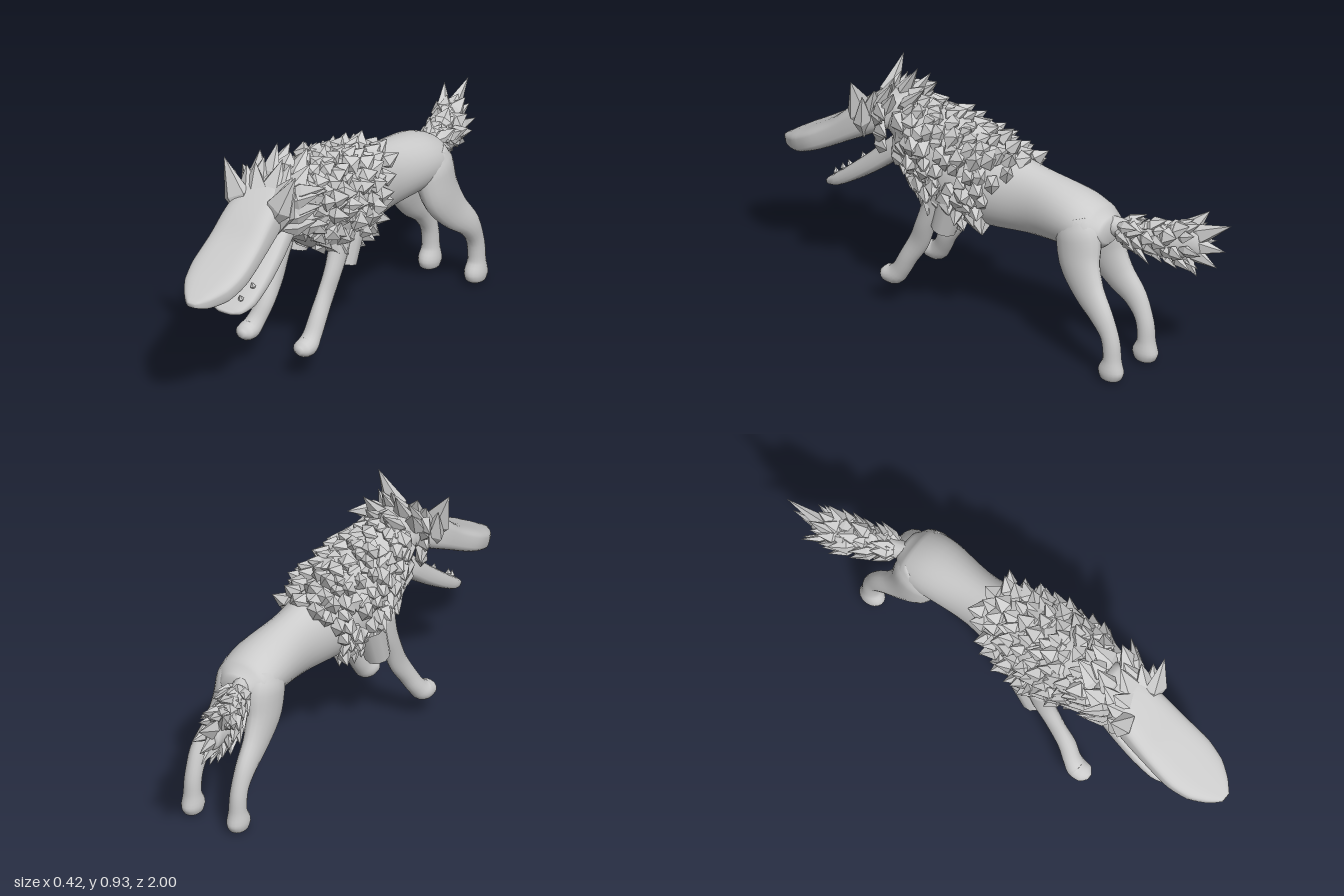
import * as THREE from 'three';
import { mergeGeometries } from 'three/addons/utils/BufferGeometryUtils.js';

const V = (x, y, z) => new THREE.Vector3(x, y, z);
const smooth = new THREE.MeshStandardMaterial({ color: 0xcccccc });
const faceted = new THREE.MeshStandardMaterial({ color: 0xcccccc, flatShading: true });
const open = new THREE.MeshStandardMaterial({ color: 0xcccccc, side: THREE.DoubleSide });

let seed = 7;
const rnd = (a, b) => {
  seed = (seed * 16807) % 2147483647;
  return a + (b - a) * seed / 2147483647;
};

// Skin around a spine of stations [x, y, z, radiusX, radiusAcross]; power > 2 makes it squarer
function skin(stations, power = 2) {
  const path = new THREE.CatmullRomCurve3(stations.map(s => V(s[0], s[1], s[2])));
  const size = new THREE.CatmullRomCurve3(stations.map(s => V(s[3], s[4], 0)));
  const round = c => Math.sign(c) * Math.pow(Math.abs(c), 2 / power);
  return (u, a) => {
    const t = path.getTangent(u), r = size.getPoint(u), X = V(1, 0, 0);
    const U = t.clone().cross(X).normalize();
    const c = Math.cos(a), s = Math.sin(a), center = path.getPoint(u);
    return {
      center, tangent: t,
      point: center.clone().addScaledVector(X, round(c) * r.x).addScaledVector(U, round(s) * r.y),
      normal: X.multiplyScalar(c / r.x).addScaledVector(U, s / r.y).normalize(),
    };
  };
}

function loft(surface, rings, sides) {
  const pos = [], idx = [], caps = rings * sides;
  for (let i = 0; i < rings; i++)
    for (let j = 0; j < sides; j++)
      pos.push(...surface(i / (rings - 1), j / sides * Math.PI * 2).point.toArray());
  pos.push(...surface(0, 0).center.toArray(), ...surface(1, 0).center.toArray());
  for (let j = 0; j < sides; j++) {
    const k = (j + 1) % sides, end = caps - sides;
    for (let i = 0; i < rings - 1; i++) {
      const a = i * sides, b = a + sides;
      idx.push(a + j, a + k, b + j, a + k, b + k, b + j);
    }
    idx.push(caps, k, j, caps + 1, end + j, end + k);
  }
  const g = new THREE.BufferGeometry();
  g.setAttribute('position', new THREE.Float32BufferAttribute(pos, 3));
  g.setIndex(idx);
  g.computeVertexNormals();
  return g;
}

// Chunky leaf-shaped tuft from base to tip, flattened along the hint direction
function tuft(base, tip, r, flat = 0.5, hint = V(0, 0.3, 1)) {
  const g = new THREE.LatheGeometry([[0.001, 0], [1, 0.45], [0.001, 1]].map(p => new THREE.Vector2(...p)), 5);
  const d = tip.clone().sub(base), len = d.length();
  d.normalize();
  const x = d.clone().cross(hint).normalize(), z = x.clone().cross(d);
  g.rotateY(rnd(0, 6)).scale(r, len, r * flat);
  return g.applyMatrix4(new THREE.Matrix4().makeBasis(x, d, z).setPosition(base));
}

export function createModel() {
  const wolf = new THREE.Group();
  const add = (name, geometry, material = smooth) => {
    const m = new THREE.Mesh(geometry, material);
    m.name = name;
    wolf.add(m);
    return m;
  };

  // Torso and neck
  const torso = skin([
    [0.015, 0.55, -0.555, 0.06, 0.045], [0.015, 0.55, -0.5, 0.112, 0.09], [0.015, 0.565, -0.4, 0.118, 0.115],
    [0.01, 0.575, -0.2, 0.1, 0.137], [0.01, 0.585, 0, 0.13, 0.167], [0.01, 0.61, 0.15, 0.155, 0.187],
    [0.01, 0.665, 0.28, 0.14, 0.165], [0, 0.725, 0.4, 0.1, 0.105], [-0.01, 0.74, 0.48, 0.08, 0.065]]);
  add('torso', loft(torso, 40, 28));

  // Shaggy coat of chunky tufts over chest and shoulders
  const coat = [];
  for (let row = 0; row < 12; row++) {
    for (let j = 0; j < 18; j++) {
      const a = (j + (row % 2) / 2 + rnd(-0.3, 0.3)) / 18 * Math.PI * 2, s = Math.sin(a);
      if (s < -0.93) continue;
      const start = 0.47 - 0.045 * s, end = 0.87 + 0.05 * s;
      const { point, normal } = torso(start + (end - start) * (row + rnd(-0.4, 0.4) + 0.4) / 11.8, a);
      const dir = normal.clone().multiplyScalar(rnd(0.5, 1.3)).add(V(rnd(-0.3, 0.3), rnd(-0.4, 0.2), -0.8)).normalize();
      const base = point.clone().addScaledVector(normal, -0.025);
      coat.push(tuft(base, base.clone().addScaledVector(dir, rnd(0.075, 0.105)), rnd(0.034, 0.05), 0.75, normal));
    }
  }
  add('coat', mergeGeometries(coat), faceted);

  // Long flat muzzle and head
  add('head', loft(skin([
    [0, 0.78, 0.4, 0.07, 0.05], [-0.005, 0.75, 0.5, 0.1, 0.07], [-0.01, 0.69, 0.6, 0.112, 0.066],
    [-0.01, 0.62, 0.7, 0.117, 0.052], [-0.01, 0.56, 0.8, 0.12, 0.048], [-0.01, 0.515, 0.89, 0.102, 0.042],
    [-0.01, 0.492, 0.96, 0.058, 0.027], [-0.01, 0.488, 0.997, 0.02, 0.01]], 3.6), 26, 32));

  // Hanging lower jaw
  add('lowerJaw', loft(skin([
    [-0.005, 0.665, 0.38, 0.07, 0.05], [-0.01, 0.605, 0.46, 0.085, 0.045], [-0.01, 0.535, 0.54, 0.092, 0.04],
    [-0.01, 0.465, 0.63, 0.095, 0.034], [-0.01, 0.41, 0.71, 0.09, 0.026], [-0.01, 0.383, 0.765, 0.065, 0.014],
    [-0.01, 0.378, 0.782, 0.03, 0.006]], 3.2), 22, 24));

  // Fangs near the tip of the lower jaw
  const teeth = [];
  for (const s of [-1, 1])
    for (let i = 0; i < 2; i++)
      teeth.push(tuft(V(-0.01 + s * (0.065 - i * 0.02), 0.45 - i * 0.04, 0.68 + i * 0.05),
        V(-0.01 + s * (0.06 - i * 0.02), 0.485 - i * 0.04, 0.69 + i * 0.05), 0.012, 1));
  add('teeth', mergeGeometries(teeth), faceted);

  // Ears, brow crest and cheek ruff
  const ears = [], ruff = [];
  for (const s of [-1, 1]) {
    const p = (x, y, z) => V(s * x, y, z);
    ears.push(tuft(p(0.04, 0.65, 0.59), p(0.165, 0.9, 0.565), 0.058, 0.6));
    ears.push(tuft(p(0.075, 0.63, 0.57), p(0.14, 0.84, 0.53), 0.045, 0.7));
    ears.push(tuft(p(0.03, 0.68, 0.58), p(0.105, 0.86, 0.5), 0.06, 0.6));
    for (let i = 0; i < 5; i++) {
      const y = 0.64 + i * 0.035;
      ruff.push(tuft(p(0.06, y, 0.53), p(0.15 + i * 0.008, y + rnd(0, 0.05), rnd(0.38, 0.43)), 0.042, 0.6, V(s, 0, 0.3)));
      ruff.push(tuft(p(0.06, y - 0.01, 0.45), p(0.145, y - 0.03, rnd(0.28, 0.35)), 0.045, 0.6, V(s, 0, 0.3)));
    }
    ruff.push(tuft(p(0.05, 0.72, 0.55), p(0.06, 0.885, 0.45), 0.05));
    ruff.push(tuft(p(0.06, 0.73, 0.5), p(0.115, 0.88, 0.4), 0.055));
    ruff.push(tuft(p(0.045, 0.76, 0.45), p(0.04, 0.895, 0.31), 0.05));
  }
  ruff.push(tuft(V(-0.03, 0.75, 0.5), V(-0.035, 0.93, 0.4), 0.045), tuft(V(-0.01, 0.7, 0.57), V(-0.065, 0.88, 0.5), 0.06));
  ruff.push(tuft(V(0.01, 0.7, 0.57), V(0.03, 0.9, 0.46), 0.06));
  add('ears', mergeGeometries(ears), faceted);
  add('ruff', mergeGeometries(ruff), faceted);

  // Legs flowing into rounded paws
  for (const [side, top, knee, foot] of [['right', -0.13, -0.13, -0.16], ['left', 0.114, 0.106, 0.103]]) {
    add(side + 'FrontLeg', loft(skin([
      [top, 0.56, 0.19, 0.036, 0.06], [top, 0.46, 0.215, 0.034, 0.05], [top, 0.38, 0.25, 0.031, 0.042],
      [knee, 0.3, 0.285, 0.029, 0.042], [knee + (foot - knee) * 0.2, 0.22, 0.335, 0.034, 0.037],
      [foot + (knee - foot) * 0.3, 0.16, 0.37, 0.036, 0.036], [foot, 0.128, 0.4, 0.041, 0.04],
      [foot, 0.124, 0.44, 0.038, 0.031], [foot, 0.124, 0.462, 0.014, 0.012]]), 32, 18));
    // Loose skin at the top of the front leg
    const cuff = add(side + 'Cuff', new THREE.CylinderGeometry(0.06, 0.05, 0.16, 10, 1, true), open);
    cuff.position.set(top * 0.93, 0.46, 0.145);
    cuff.rotation.x = -0.3;
  }
  for (const [side, hip, thigh, foot] of [['right', -0.052, -0.06, -0.073], ['left', 0.082, 0.098, 0.138]]) {
    const mid = (thigh + foot) / 2;
    add(side + 'HindLeg', loft(skin([
      [hip, 0.6, -0.43, 0.04, 0.07], [hip, 0.53, -0.45, 0.063, 0.098], [thigh, 0.43, -0.47, 0.054, 0.092],
      [mid, 0.34, -0.525, 0.042, 0.072], [foot, 0.26, -0.6, 0.036, 0.05], [foot, 0.18, -0.642, 0.033, 0.036],
      [foot, 0.1, -0.652, 0.034, 0.036], [foot, 0.045, -0.647, 0.041, 0.054],
      [foot, 0.015, -0.645, 0.034, 0.043], [foot, 0.002, -0.644, 0.012, 0.016]]), 34, 18));
  }

  // Bushy tail, swept to the right
  const tail = skin([[0.01, 0.58, -0.48, 0.03, 0.03], [-0.03, 0.55, -0.6, 0.04, 0.045],
    [-0.085, 0.53, -0.75, 0.05, 0.07], [-0.12, 0.545, -0.88, 0.03, 0.05]]);
  add('tail', loft(tail, 14, 12));
  const brush = [];
  for (let i = 0; i < 8; i++) {
    for (let j = 0; j < 7; j++) {
      const { point, normal, tangent } = tail(0.2 + i * 0.08, (j + rnd(-0.3, 0.3) + (i % 2) / 2) / 7 * Math.PI * 2);
      const dir = normal.clone().multiply(V(0.5, 0.55, 0.3)).multiplyScalar(rnd(0.6, 1.3)).add(tangent).normalize();
      const base = point.clone().addScaledVector(normal, -0.02);
      brush.push(tuft(base, base.clone().addScaledVector(dir, rnd(0.08, 0.14)), rnd(0.025, 0.04), 0.6, normal));
    }
  }
  for (const [x, y, z] of [[-0.145, 0.64, -1], [-0.135, 0.53, -0.98], [-0.17, 0.66, -0.88], [-0.12, 0.46, -0.95], [-0.1, 0.41, -0.87]])
    brush.push(tuft(V(-0.1, 0.53, -0.77), V(x, y, z), 0.04, 0.6, V(1, 0, 0)));
  add('tailFur', mergeGeometries(brush), faceted);

  return wolf;
}
